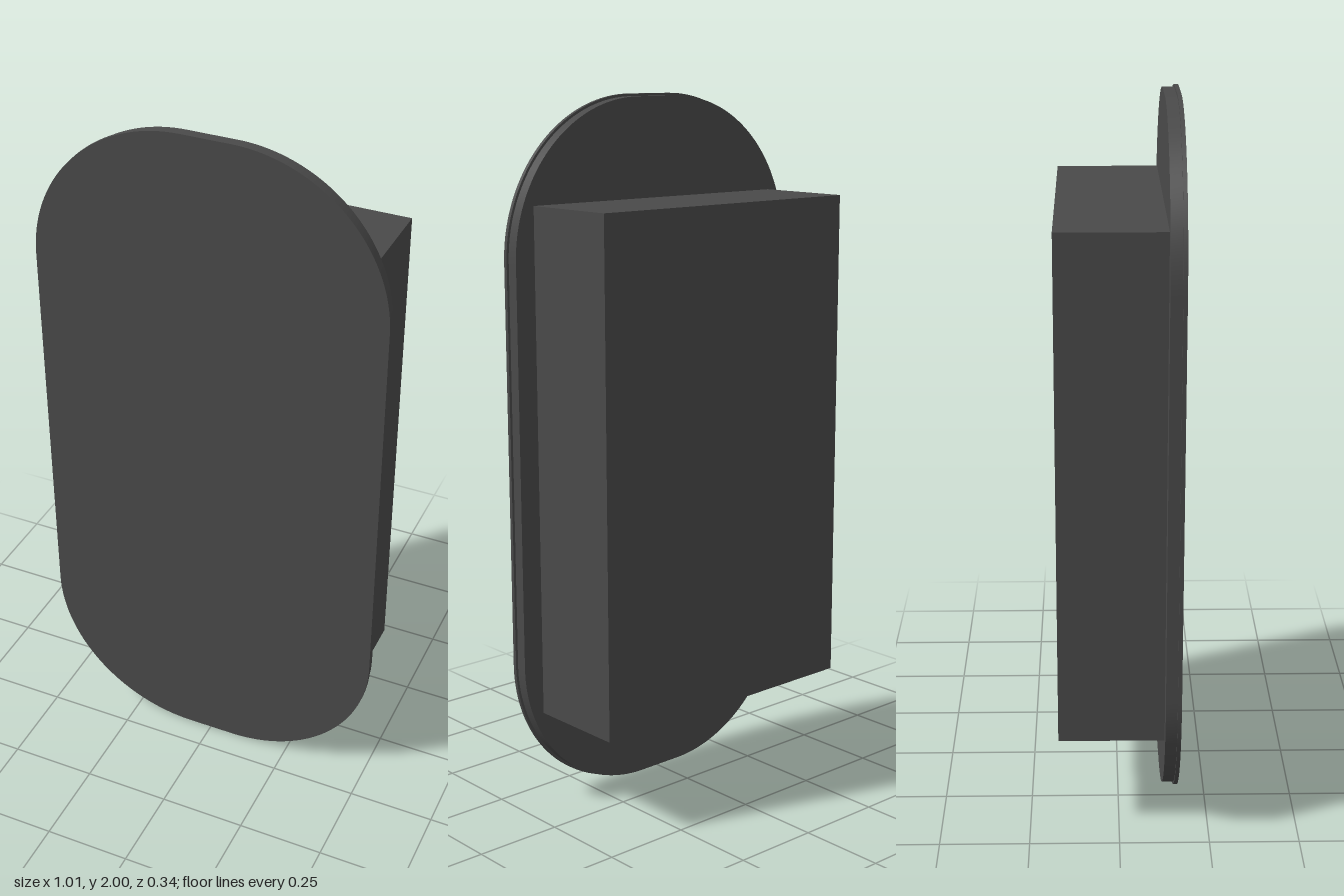
import * as THREE from 'three';
import { toCreasedNormals } from 'three/addons/utils/BufferGeometryUtils.js';

const material = new THREE.MeshStandardMaterial({ color: 0x4a4a4a });

// Upright rounded plate centred on the origin, spanning z0 to z1
function roundedPlate(name, halfW, halfH, radius, z0, z1) {
  const cx = halfW - radius, cy = halfH - radius;
  const shape = new THREE.Shape();
  shape.moveTo(halfW, -cy);
  shape.absarc(cx, cy, radius, 0, Math.PI / 2);
  shape.absarc(-cx, cy, radius, Math.PI / 2, Math.PI);
  shape.absarc(-cx, -cy, radius, Math.PI, Math.PI * 1.5);
  shape.absarc(cx, -cy, radius, Math.PI * 1.5, Math.PI * 2);
  const geometry = new THREE.ExtrudeGeometry(shape, {
    depth: z1 - z0, bevelEnabled: false, curveSegments: 24,
  });
  const mesh = new THREE.Mesh(toCreasedNormals(geometry, Math.PI / 6), material);
  mesh.name = name;
  mesh.position.set(0, 1, z0);
  return mesh;
}

export function createModel() {
  const model = new THREE.Group();
  model.name = 'wallPanel';

  // Thin front face with a slight overhanging lip
  model.add(roundedPlate('frontFace', 0.505, 1, 0.435, 0.157, 0.168));

  // Slightly smaller plate behind the face
  model.add(roundedPlate('backingPlate', 0.498, 0.993, 0.428, 0.125, 0.157));

  // Rectangular housing at the back
  const housing = new THREE.Mesh(new THREE.BoxGeometry(0.872, 1.428, 0.293), material);
  housing.name = 'rearHousing';
  housing.position.set(0, 1, -0.0215);
  model.add(housing);

  return model;
}
